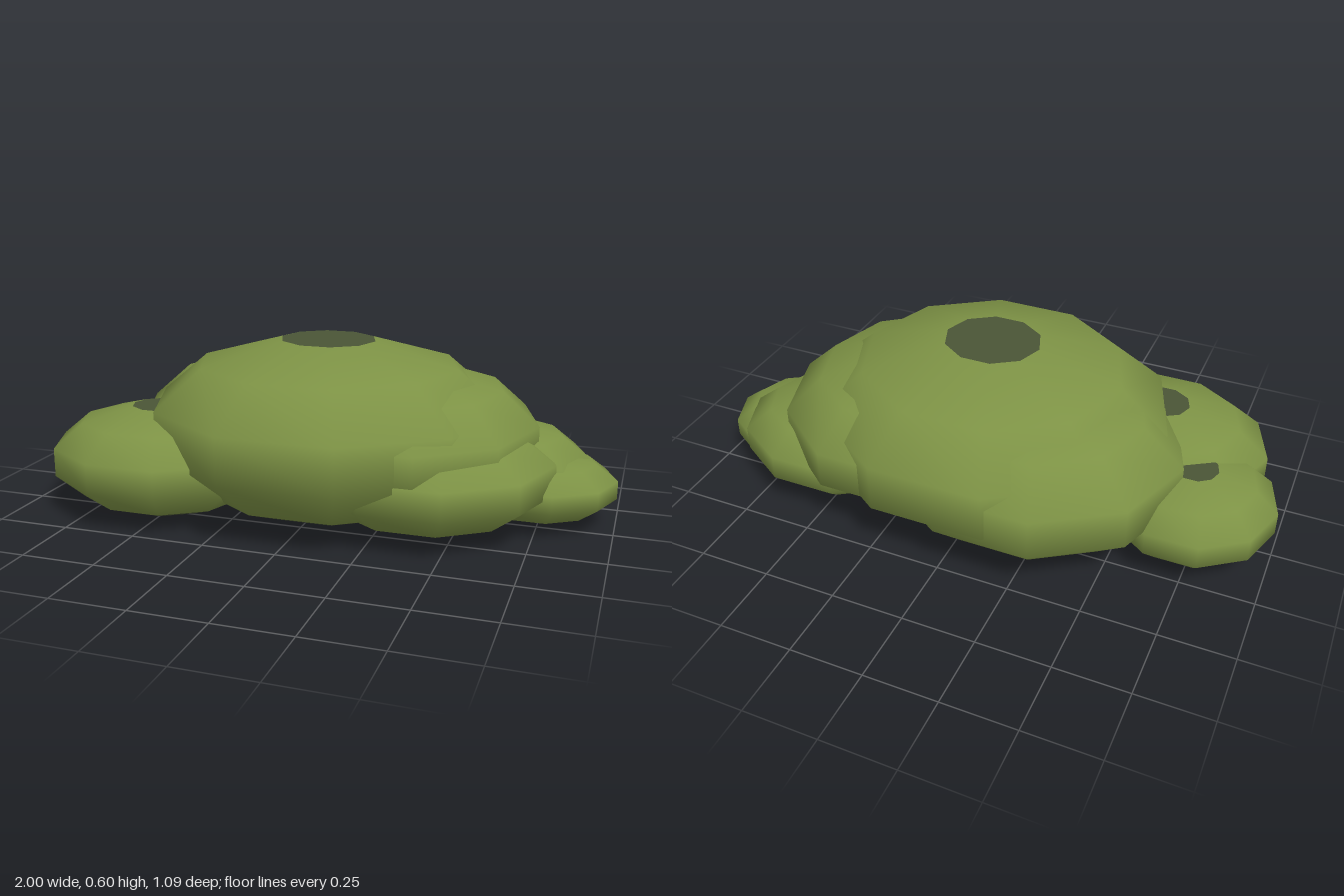
import * as THREE from 'three';

// Low-sided squashed lobes: ten sides, flat caps, shaded underside band
const SIDES = 10;
const DEG = Math.PI / 180;

// name, centre x y z, full radii x y z
const LOBES = [
  ['mainLobe', 0.015, 0.3, 0, 0.645, 0.31, 0.592],
  ['backRightLobe', -0.17, 0.262, -0.09, 0.54, 0.27, 0.487],
  ['leftUpperLobe', 0.28, 0.277, -0.03, 0.476, 0.245, 0.51],
  ['frontRightLobe', -0.525, 0.19, 0.2, 0.403, 0.188, 0.352],
  ['outerRightLobe', -0.718, 0.152, -0.02, 0.292, 0.152, 0.288],
  ['frontLeftLobe', 0.38, 0.19, 0.055, 0.445, 0.19, 0.42],
  ['backLeftLobe', 0.545, 0.168, -0.14, 0.372, 0.165, 0.32],
  ['outerLeftLobe', 0.725, 0.128, -0.09, 0.285, 0.118, 0.25],
];

export function createModel() {
  const leaf = new THREE.MeshStandardMaterial({ color: 0x7d9245 });
  leaf.name = 'leafGreen';
  const shade = new THREE.MeshStandardMaterial({ color: 0x4a5536 });
  shade.name = 'shadedGreen';

  // Unit pieces shared by every lobe
  const band = (from, to, rings) =>
    new THREE.SphereGeometry(1, SIDES, rings, 0, Math.PI * 2, from * DEG, (to - from) * DEG);
  const foliage = band(15, 135, 4);
  const underside = band(135, 165, 1);
  const capRadius = Math.sin(15 * DEG);
  const capHeight = Math.cos(15 * DEG);
  const topCap = new THREE.CircleGeometry(capRadius, SIDES)
    .rotateX(-Math.PI / 2).translate(0, capHeight, 0);
  const bottomCap = new THREE.CircleGeometry(capRadius, SIDES)
    .rotateX(Math.PI / 2).translate(0, -capHeight, 0);

  const pieces = [
    ['foliage', foliage, leaf],
    ['underside', underside, shade],
    ['topCap', topCap, shade],
    ['bottomCap', bottomCap, shade],
  ];

  const bush = new THREE.Group();
  bush.name = 'bush';
  for (const [name, x, y, z, rx, ry, rz] of LOBES) {
    const lobe = new THREE.Group();
    lobe.name = name;
    lobe.position.set(x, y, z);
    lobe.scale.set(rx, ry, rz);
    for (const [part, geometry, material] of pieces) {
      const mesh = new THREE.Mesh(geometry, material);
      mesh.name = part;
      lobe.add(mesh);
    }
    bush.add(lobe);
  }
  return bush;
}
